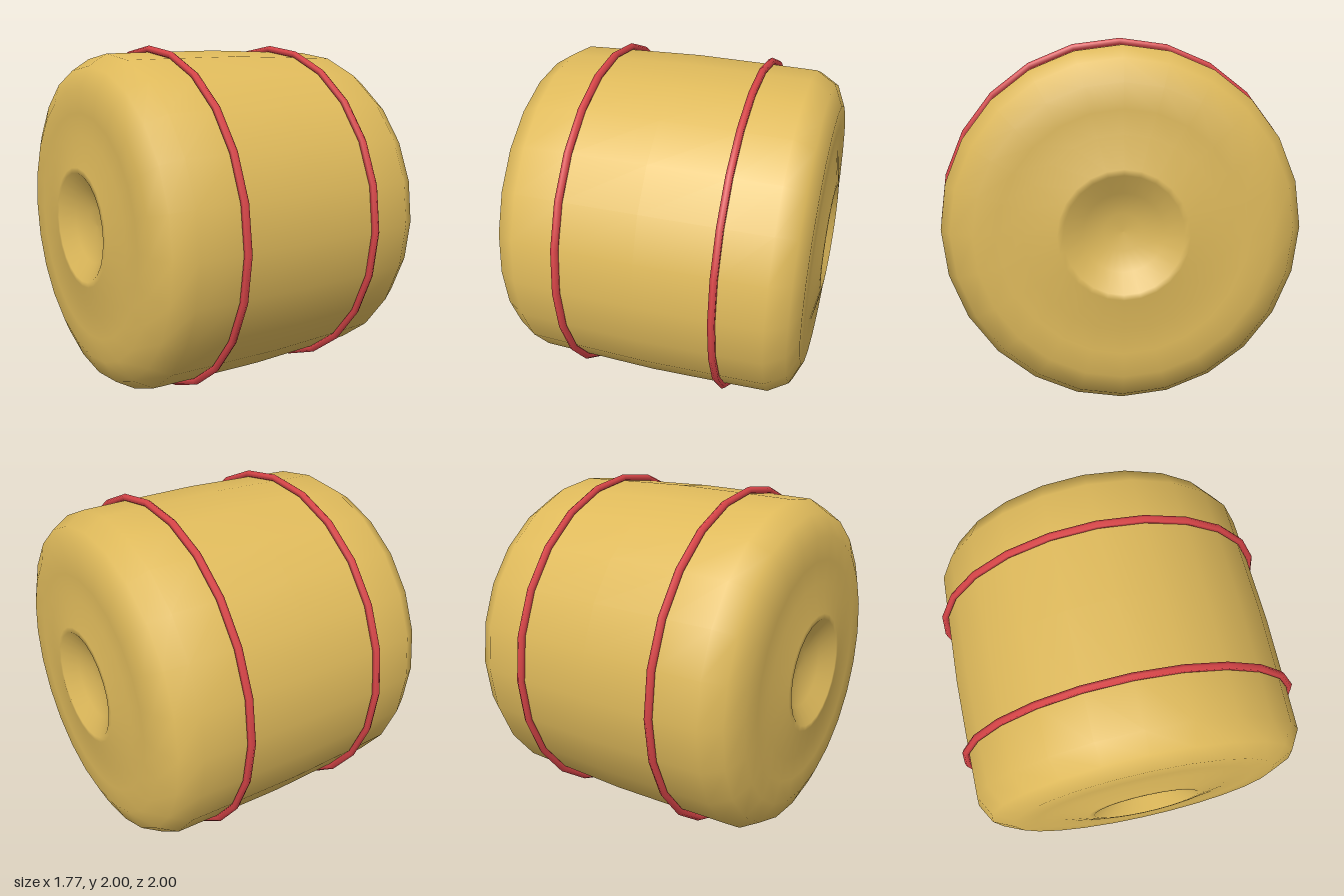
import * as THREE from 'three';

export function createModel() {
  const group = new THREE.Group();
  const straw = new THREE.MeshStandardMaterial({ color: 0xdfba5b });
  straw.name = 'straw';
  const red = new THREE.MeshStandardMaterial({ color: 0xd94548 });
  red.name = 'red cord';

  // Half profile of the bale as [radius, distance from the middle], end centre first:
  // dished hollow, raised rim, flat end, rounded shoulder, gently bulging side
  const half = [
    [0, 0.78], [0.1, 0.785], [0.21, 0.82], [0.31, 0.887], [0.34, 0.885],
    [0.51, 0.855], [0.64, 0.855], [0.77, 0.853], [0.89, 0.8], [0.956, 0.69], [0.963, 0.43],
  ];
  const profile = [
    ...half.map(([r, d]) => new THREE.Vector2(r, -d)),
    new THREE.Vector2(0.972, 0),
    ...half.slice().reverse().map(([r, d]) => new THREE.Vector2(r, d)),
  ];
  const body = new THREE.Mesh(new THREE.LatheGeometry(profile, 24).rotateZ(-Math.PI / 2), straw);
  body.name = 'baleBody';
  body.position.y = 1;
  group.add(body);

  // Two cords tied around the bale
  for (const side of [-1, 1]) {
    const cord = new THREE.Mesh(new THREE.TorusGeometry(0.979, 0.021, 6, 24).rotateY(Math.PI / 2), red);
    cord.name = side > 0 ? 'leftCord' : 'rightCord';
    cord.position.set(side * 0.427, 1, 0);
    group.add(cord);
  }
  return group;
}
